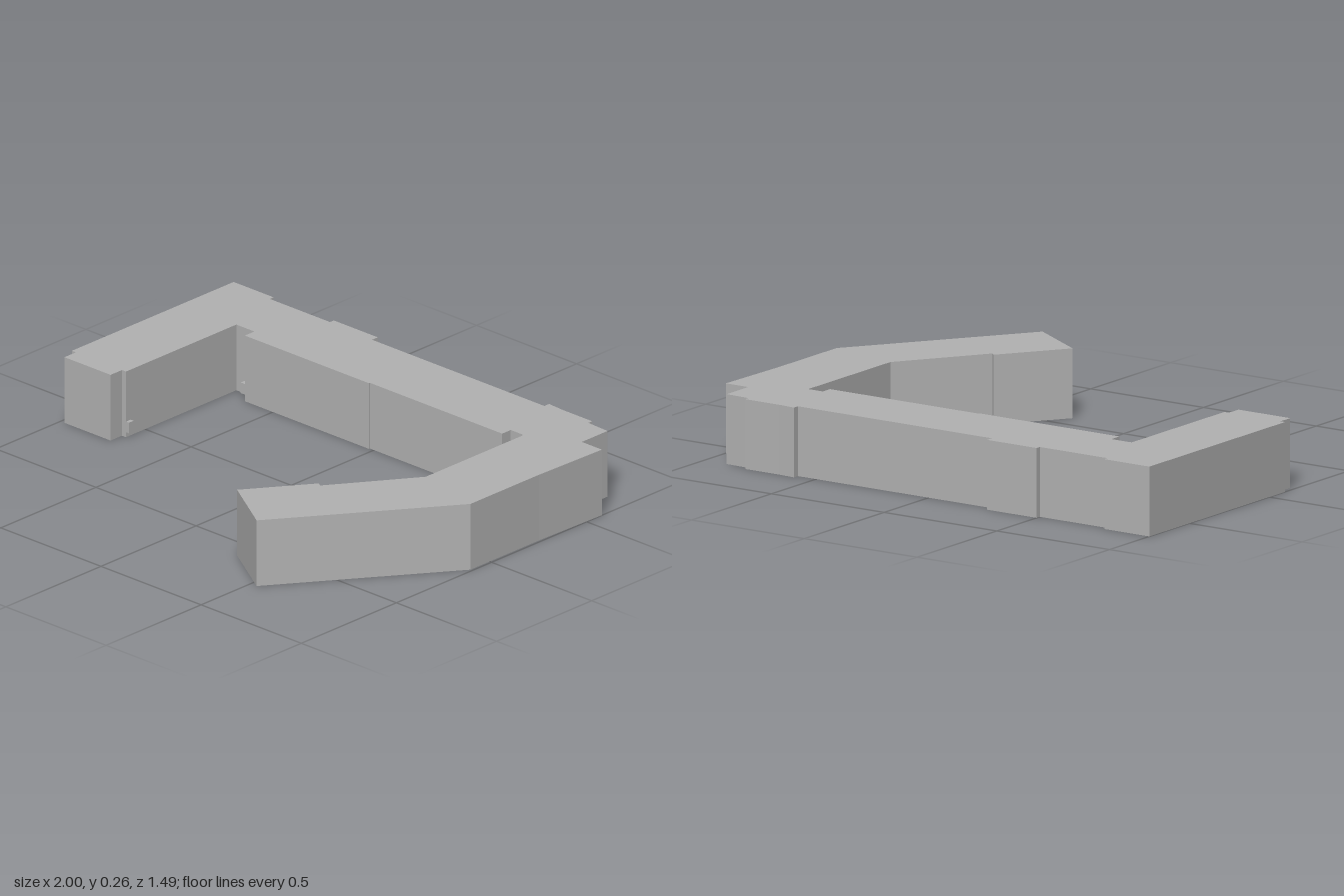
import * as THREE from 'three';

const HEIGHT = 0.26;

// Extrude a ground outline of [x, z] points upward from y0 to y1
function extrudeUp(name, outline, y0, y1, material) {
  const shape = new THREE.Shape(outline.map(([x, z]) => new THREE.Vector2(x, -z)));
  const geometry = new THREE.ExtrudeGeometry(shape, { depth: y1 - y0, bevelEnabled: false });
  geometry.rotateX(-Math.PI / 2);
  geometry.translate(0, y0, 0);
  const mesh = new THREE.Mesh(geometry, material);
  mesh.name = name;
  return mesh;
}

export function createModel() {
  const group = new THREE.Group();
  group.name = 'building';

  const concrete = new THREE.MeshStandardMaterial({ color: 0xb2b2b2 });
  concrete.name = 'concreteGrey';

  const outline = [
    // rear facade with shallow bays
    [-1, -0.75], [-0.8, -0.75], [-0.8, -0.73], [-0.5, -0.73], [-0.5, -0.75],
    [-0.28, -0.75], [-0.28, -0.72], [0.58, -0.72], [0.58, -0.745], [0.65, -0.74],
    [0.8, -0.74], [0.8, -0.72], [0.9, -0.715], [0.9, -0.58],
    // left wing, bending inward to its slanted end
    [1, -0.58], [0.99, -0.26], [0.99, 0.1], [0.53, 0.74], [0.29, 0.59],
    [0.465, 0.345], [0.482, 0.355], [0.705, 0.035], [0.705, -0.47],
    // courtyard side of the long block
    [0.7, -0.48], [0.64, -0.48], [0.64, -0.435], [-0.02, -0.435], [-0.02, -0.43],
    [-0.64, -0.43], [-0.64, -0.48], [-0.73, -0.48],
    // right wing
    [-0.73, 0.1], [-0.75, 0.1], [-0.75, 0.16], [-0.98, 0.16], [-0.98, 0.1], [-1, 0.1],
  ];
  group.add(extrudeUp('buildingBlock', outline, 0, HEIGHT, concrete));

  // small entrance canopies in the courtyard
  const canopies = [
    ['cornerCanopy', -0.67, -0.645, -0.48, -0.44],
    ['wingCanopy', -0.75, -0.715, 0.075, 0.1],
  ];
  for (const [name, x0, x1, z0, z1] of canopies) {
    group.add(extrudeUp(name, [[x0, z0], [x1, z0], [x1, z1], [x0, z1]], 0.02, 0.062, concrete));
  }
  return group;
}
